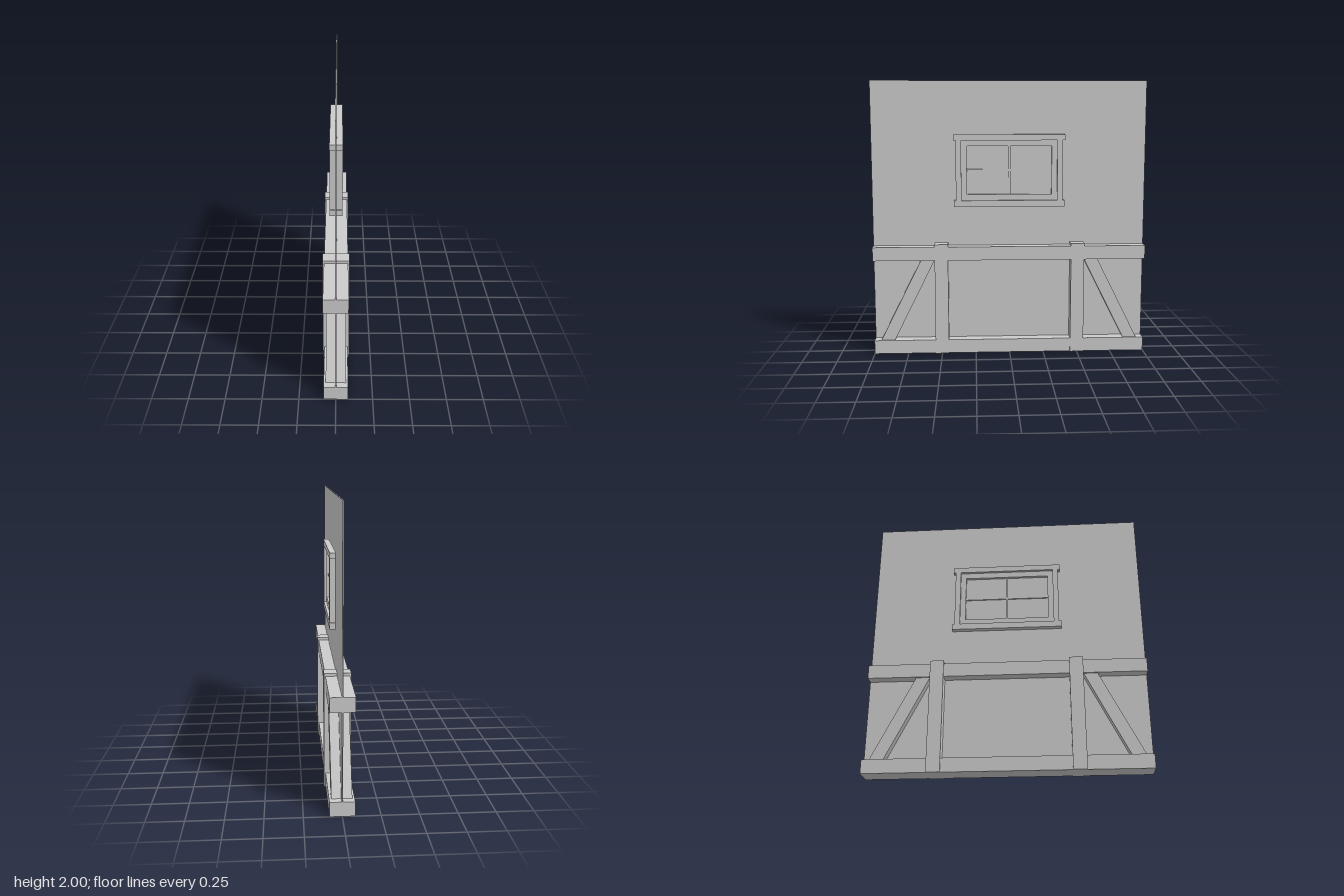
import * as THREE from 'three';

const material = new THREE.MeshStandardMaterial({ color: 0xcccccc, flatShading: true });

// Box centred on x = 0, given half thickness and its z and y ranges
function slab(name, halfX, z0, z1, y0, y1) {
  const mesh = new THREE.Mesh(new THREE.BoxGeometry(halfX * 2, y1 - y0, z1 - z0), material);
  mesh.position.set(0, (y0 + y1) / 2, (z0 + z1) / 2);
  mesh.name = name;
  return mesh;
}

// Slanted strut, leaning outward towards the foot; side is the sign of z
function brace(side) {
  const points = [[0.55, 0.7], [0.65, 0.7], [0.95, 0.1], [0.85, 0.1]]
    .map(([z, y]) => new THREE.Vector2(-side * z, y));
  const halfX = 0.068;
  const geometry = new THREE.ExtrudeGeometry(new THREE.Shape(points), { depth: halfX * 2, bevelEnabled: false });
  geometry.translate(0, 0, -halfX).rotateY(Math.PI / 2);
  const mesh = new THREE.Mesh(geometry, material);
  mesh.name = side > 0 ? 'frontBrace' : 'backBrace';
  return mesh;
}

function createWindow() {
  const group = new THREE.Group();
  group.name = 'window';
  // Outer casing
  group.add(slab('lintel', 0.045, -0.405, 0.405, 1.573, 1.615));
  group.add(slab('sill', 0.045, -0.405, 0.405, 1.09, 1.135));
  // Recessed sash
  group.add(slab('sashTop', 0.025, -0.35, 0.35, 1.53, 1.573));
  group.add(slab('sashBottom', 0.025, -0.35, 0.35, 1.135, 1.178));
  for (const side of [-1, 1]) {
    const upright = (name, halfX, a, b, y0, y1) =>
      group.add(slab(name, halfX, Math.min(side * a, side * b), Math.max(side * a, side * b), y0, y1));
    upright('jamb', 0.045, 0.35, 0.39, 1.135, 1.573);
    upright('sashSide', 0.025, 0.31, 0.35, 1.178, 1.53);
  }
  // Glazing bars
  group.add(slab('verticalBar', 0.015, -0.008, 0.008, 1.178, 1.53));
  group.add(slab('horizontalBar', 0.014, -0.31, 0.31, 1.348, 1.362));
  return group;
}

export function createModel() {
  const model = new THREE.Group();
  model.name = 'timberWall';
  model.add(slab('wallPanel', 0.004, -1, 1, 0, 2));
  // Horizontal timbers
  model.add(slab('bottomBeam', 0.083, -1, 1, 0, 0.1));
  model.add(slab('middleBeam', 0.083, -1, 1, 0.7, 0.8));
  // Posts and braces
  for (const side of [-1, 1]) {
    model.add(slab(side > 0 ? 'frontPost' : 'backPost', 0.093, side * 0.5 - 0.049, side * 0.5 + 0.049, 0, 0.82));
    model.add(brace(side));
  }
  model.add(createWindow());
  return model;
}
